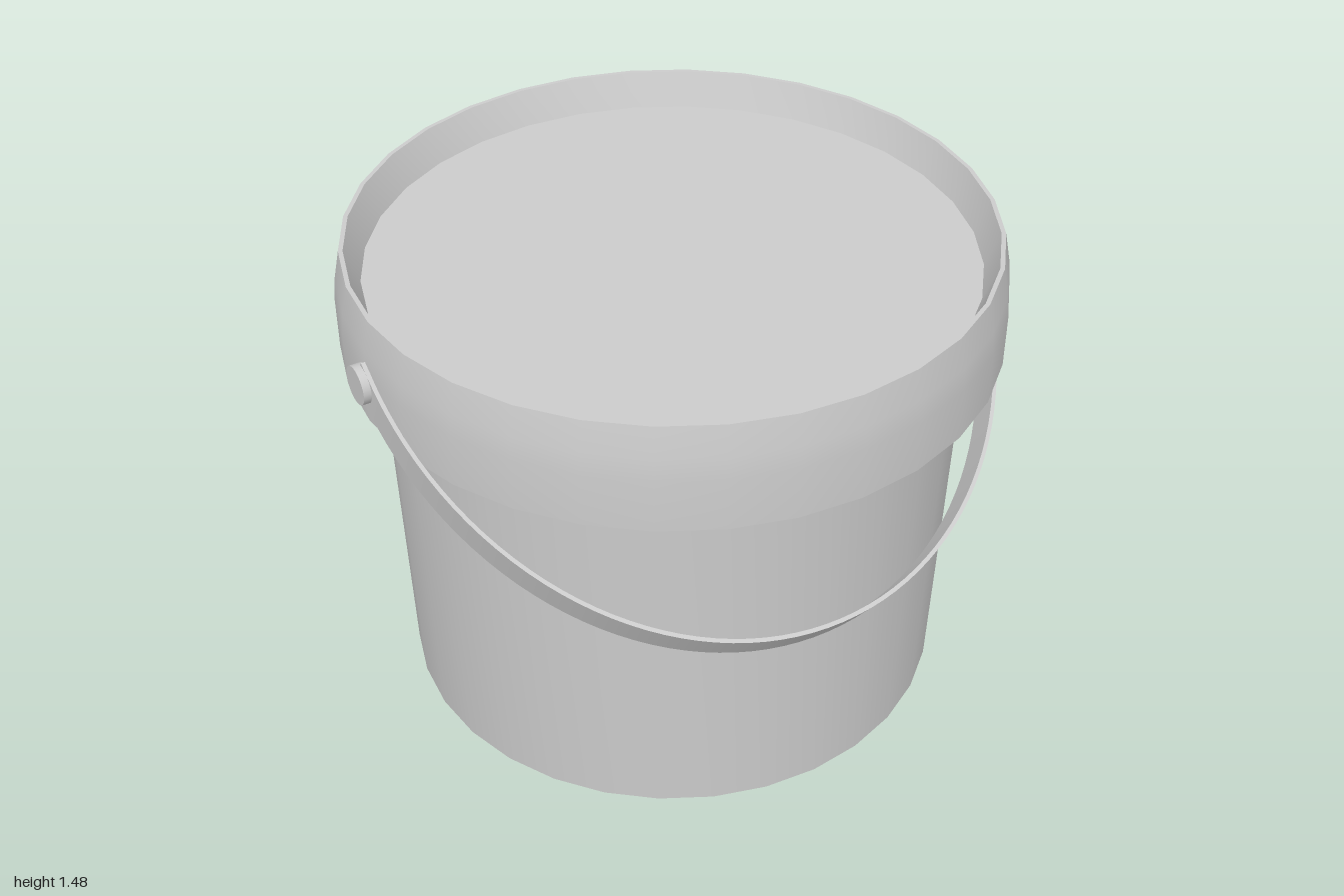
import * as THREE from 'three';
import { toCreasedNormals } from 'three/addons/utils/BufferGeometryUtils.js';

const SIDES = 32;
const PIVOT_Y = 1.29;

export function createModel() {
  const group = new THREE.Group();
  group.name = 'bucket';
  const material = new THREE.MeshStandardMaterial({ color: 0xcccccc });

  const add = (name, geometry) => {
    const mesh = new THREE.Mesh(geometry, material);
    mesh.name = name;
    group.add(mesh);
    return mesh;
  };
  const turned = (profile) => toCreasedNormals(
    new THREE.LatheGeometry(profile.map(([r, y]) => new THREE.Vector2(r, y)), SIDES), 0.5);

  // Tapered tub with a closed base
  add('body', turned([[0, 0], [0.83, 0], [0.865, 1.17]]));

  // Lid: overhanging skirt, thin rim and recessed top
  add('lid', turned([
    [0.86, 1.16], [0.97, 1.16], [0.97, 1.32], [0.963, 1.39], [0.945, 1.48],
    [0.932, 1.48], [0.892, 1.375], [0, 1.375],
  ]));

  // Handle: half-elliptical strap, swung down to the front
  const outer = 0.978, inner = 0.966, drop = 1.105, thickness = 0.012, tab = 0.038;
  const strap = new THREE.Shape();
  strap.moveTo(-outer, tab);
  strap.lineTo(-outer, 0);
  strap.absellipse(0, 0, outer, drop, Math.PI, 2 * Math.PI, false);
  strap.lineTo(outer, tab);
  strap.lineTo(inner, tab);
  strap.lineTo(inner, 0);
  strap.absellipse(0, 0, inner, drop - thickness, 2 * Math.PI, Math.PI, true);
  strap.lineTo(-inner, tab);
  strap.closePath();
  const width = 0.115;
  const strapGeometry = new THREE.ExtrudeGeometry(strap, {
    depth: width, bevelEnabled: false, curveSegments: 32,
  });
  strapGeometry.translate(0, 0, -width / 2);
  const handle = add('handle', toCreasedNormals(strapGeometry, 0.5));
  handle.position.y = PIVOT_Y;
  handle.rotation.x = -0.932;

  // Pivot pins on both sides
  for (const side of [-1, 1]) {
    const pin = add(side > 0 ? 'leftPin' : 'rightPin',
      new THREE.CylinderGeometry(0.057, 0.057, 0.07, 24));
    pin.rotation.z = Math.PI / 2;
    pin.position.set(side * 0.965, PIVOT_Y, 0);
  }

  return group;
}
